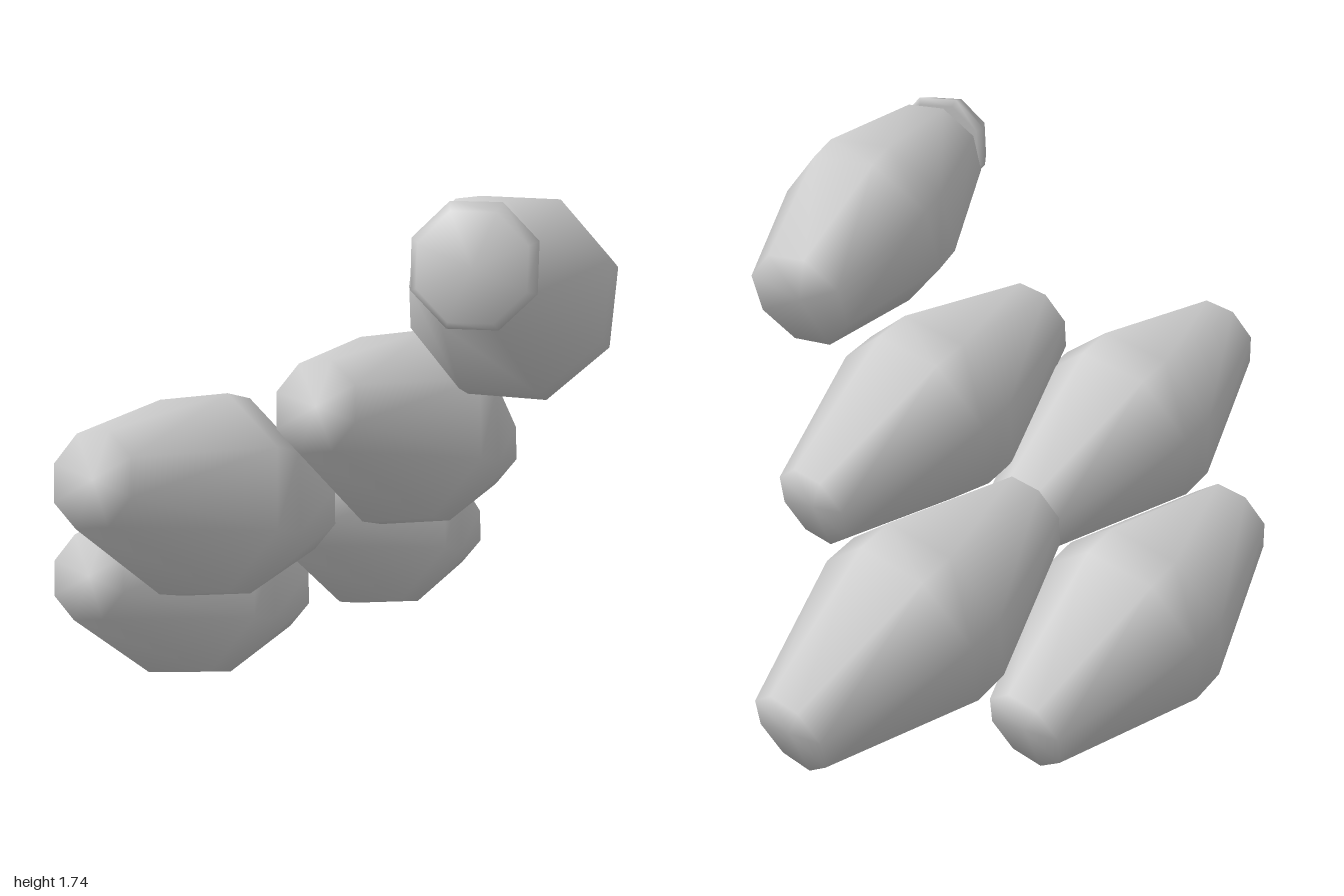
import * as THREE from 'three';

const material = new THREE.MeshStandardMaterial({ color: 0xcccccc });
const UP = new THREE.Vector3(0, 1, 0);

// Eight-sided turned solid with smooth normals, its axis laid along a given direction
function turned(name, profile, center, axis, twist) {
  const geometry = new THREE.LatheGeometry(profile.map(([r, y]) => new THREE.Vector2(r, y)), 8);
  geometry.rotateY(THREE.MathUtils.degToRad(twist));
  const mesh = new THREE.Mesh(geometry, material);
  mesh.name = name;
  mesh.position.set(...center);
  mesh.quaternion.setFromUnitVectors(UP, new THREE.Vector3(...axis).normalize());
  return mesh;
}

// Barrel profile: flat ends and a narrow belt around the belly
function barrelProfile(endRadius, bellyRadius, halfLength, halfBelt) {
  return [
    [0, -halfLength], [endRadius, -halfLength],
    [bellyRadius, -halfBelt], [bellyRadius, halfBelt],
    [endRadius, halfLength], [0, halfLength],
  ];
}

export function createModel() {
  const group = new THREE.Group();
  group.name = 'barrelPile';

  // Four parallel barrels in the stack
  const stackProfile = barrelProfile(0.14, 0.31, 0.54, 0.06);
  const stack = {
    lowerRightBarrel: [-0.5, 0.315, -0.03],
    upperRightBarrel: [-0.33, 0.785, 0.46],
    upperLeftBarrel: [0.21, 0.9, 0.06],
    lowerLeftBarrel: [0.06, 0.425, -0.46],
  };
  for (const [name, center] of Object.entries(stack)) {
    group.add(turned(name, stackProfile, center, [-0.2, 0.187, 0.465], 12));
  }

  // Shorter barrel on top, with its lid in front of the raised end
  group.add(turned('topBarrel', barrelProfile(0.18, 0.295, 0.447, 0.05),
    [0.555, 1.4, 0.43], [-0.08, 0.175, 0.405], 12));
  group.add(turned('lid', [[0, -0.05], [0.155, -0.05], [0.175, -0.03], [0.15, 0.05], [0, 0.05]],
    [0.48, 1.583, 0.92], [0, 0.14, 0.99], 22.5));

  return group;
}
